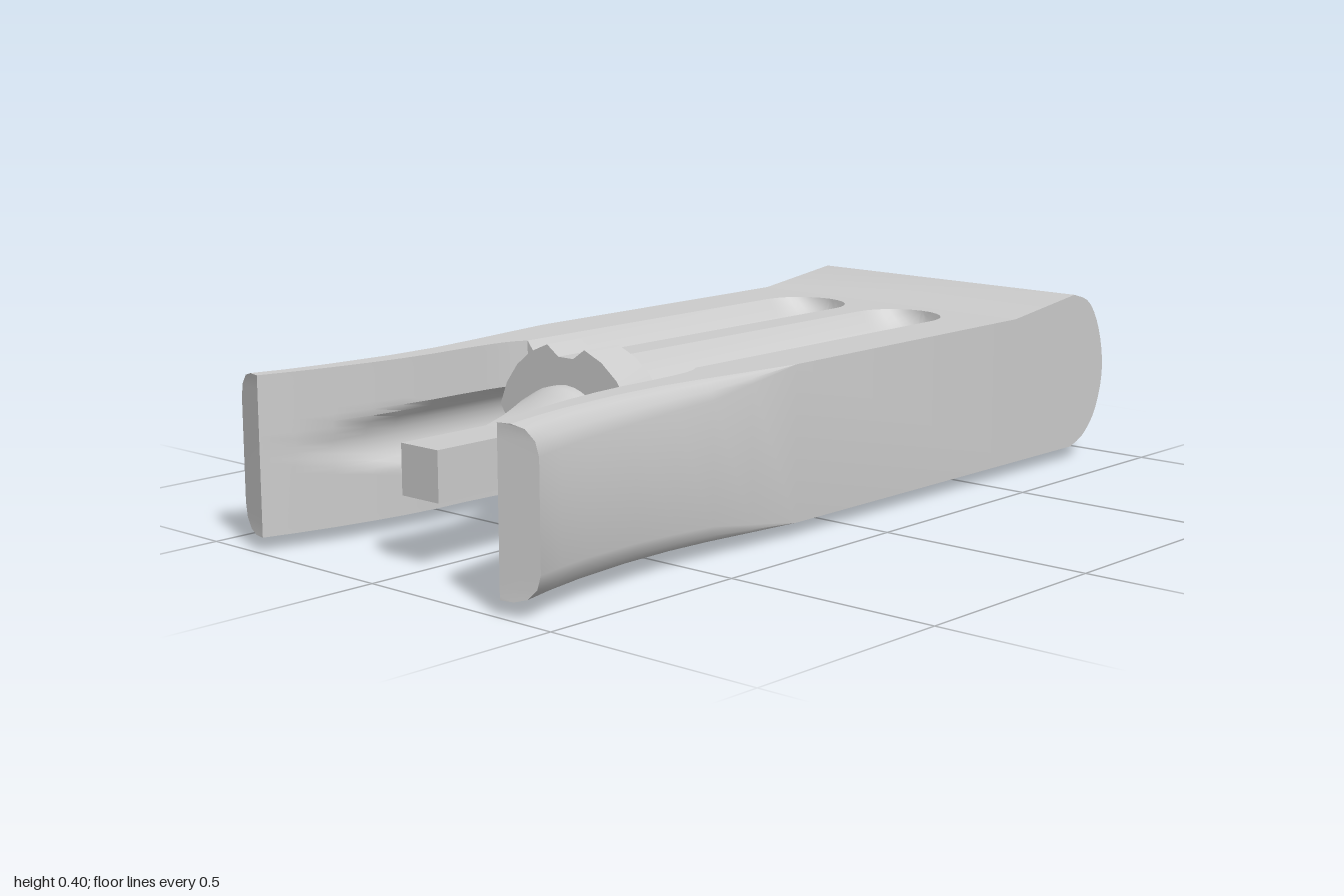
import * as THREE from 'three';
import { toCreasedNormals } from 'three/addons/utils/BufferGeometryUtils.js';

const MID = 0.21, HALF = 0.17;                    // mid height and half thickness
const SLOT_X = 0.143, SLOT_R = 0.107, SLOT_END = -0.478, SLOT_DEPTH = 0.07;
const NECK = 0.33, JOIN = -0.63;                  // front wall and tail joint

const solid = new THREE.MeshStandardMaterial({ color: 0xcccccc });
const shell = new THREE.MeshStandardMaterial({ color: 0xcccccc, side: THREE.DoubleSide });

function mesh(name, geometry, material = solid, crease = 0.6) {
  const m = new THREE.Mesh(toCreasedNormals(geometry, crease), material);
  m.name = name;
  return m;
}

// Surface through rows of [x, y, z] points
function loft(rows) {
  const n = rows[0].length, index = [];
  for (let i = 0; i < rows.length - 1; i++) {
    for (let j = 0; j < n - 1; j++) {
      const a = i * n + j, b = a + n;
      index.push(a, b, a + 1, b, b + 1, a + 1);
    }
  }
  const g = new THREE.BufferGeometry();
  g.setAttribute('position', new THREE.Float32BufferAttribute(rows.flat(2), 3));
  g.setIndex(index);
  g.computeVertexNormals();
  return g;
}

// Outer side stations: [outer x, outer z, flat edge x, flat edge z, edge drop]
const OUTER = [
  [0.38, JOIN, 0.38, JOIN, 0], [0.38, 0.16, 0.38, 0.16, 0],
  [0.38, 0.3, 0.362, 0.3, 0.022], [0.38, 0.42, 0.346, 0.42, 0.04],
  [0.379, 0.53, 0.335, 0.53, 0.045], [0.385, 0.65, 0.335, 0.655, 0.05],
  [0.402, 0.8, 0.35, 0.81, 0.054], [0.42, 0.89, 0.366, 0.905, 0.056],
  [0.44, 0.965, 0.385, 0.983, 0.058],
];
// Inner edge of the arm in plan: [x, z]
const INNER = [
  [0.25, NECK], [0.262, 0.35], [0.271, 0.38], [0.276, 0.42], [0.28, 0.5], [0.28, 0.58],
  [0.286, 0.66], [0.297, 0.74], [0.314, 0.83], [0.334, 0.915], [0.355, 0.99],
];

// Rounded outer cross-section of one station, top to bottom
function section([ox, oz, fx, fz, drop]) {
  const top = [];
  for (let k = 0; k <= 3; k++) {
    const a = (k / 3) * Math.PI / 2, s = Math.sin(a);
    top.push([fx + (ox - fx) * s, HALF - drop * (1 - Math.cos(a)), fz + (oz - fz) * s]);
  }
  const low = top.map(([x, y, z]) => [x, -y, z]).reverse();
  return [...top, ...low].map(([x, y, z]) => [x, MID + y, z]);
}

function slotDepth(x) {
  const t = (x - SLOT_X) / SLOT_R;
  return Math.max(0, SLOT_DEPTH * (1 - t * t));
}

// Flat top or bottom of one half, with the finger slot left open
function flatFace(y) {
  const pts = [[0, JOIN]];
  OUTER.forEach(s => pts.push([s[2], s[3]]));
  pts.push(...[...INNER].reverse());
  for (let k = 0; k <= 12; k++) {
    const a = (k / 12) * Math.PI;
    pts.push([SLOT_X + SLOT_R * Math.cos(a), SLOT_END - SLOT_R * Math.sin(a)]);
  }
  pts.push([SLOT_X - SLOT_R, NECK], [0, NECK]);
  const g = new THREE.ShapeGeometry(new THREE.Shape(pts.map(p => new THREE.Vector2(...p))));
  return g.rotateX(Math.PI / 2).translate(0, y, 0);
}

// Shallow trough with a domed end; side is 1 for top, -1 for bottom
function slot(side) {
  const rows = [];
  for (let k = -1; k <= 8; k++) {
    const a = Math.max(k, 0) / 8 * Math.PI / 2, r = Math.cos(a), row = [];
    const z = k < 0 ? NECK : SLOT_END - SLOT_R * Math.sin(a);
    for (let j = 0; j <= 14; j++) {
      const t = -1 + j / 7;
      row.push([SLOT_X + SLOT_R * r * t, MID + side * (HALF - SLOT_DEPTH * r * (1 - t * t)), z]);
    }
    rows.push(row);
  }
  return loft(rows);
}

// Front wall, socket and inner side of the arm as one surface
function innerWall() {
  const column = (x, z, half, cut) => {
    const col = [];
    for (let j = 0; j <= 24; j++) {
      const y = half * (1 - j / 12), d = 0.07 * 0.07 - y * y;
      const px = cut && d > 0 ? Math.max(x, 0.25 + Math.sqrt(d)) : x;
      col.push([px, MID + y, z]);
    }
    return col;
  };
  const rows = [column(0, NECK, HALF, false)];
  for (let k = 0; k <= 14; k++) {
    const x = SLOT_X + SLOT_R * (k / 7 - 1);
    rows.push(column(x, NECK, HALF - slotDepth(x), false));
  }
  INNER.forEach(([x, z]) => rows.push(column(x, z, HALF, true)));
  return loft(rows);
}

function bodyHalf(name) {
  const g = new THREE.Group();
  g.name = name;
  const end = section(OUTER[OUTER.length - 1]);
  const [ix, iz] = INNER[INNER.length - 1];
  g.add(
    mesh('topFace', flatFace(MID + HALF), shell),
    mesh('bottomFace', flatFace(MID - HALF), shell),
    mesh('topSlot', slot(1), shell),
    mesh('bottomSlot', slot(-1), shell),
    mesh('outerSide', loft(OUTER.map(section)), shell),
    mesh('innerWall', innerWall(), shell),
    mesh('armTip', loft([end, end.map(p => [ix, p[1], iz])]), shell),
  );
  return g;
}

// Rounded tail, swept across the width
function tail() {
  const s = new THREE.Shape();
  s.moveTo(-JOIN, 0.04);
  s.lineTo(0.87, 0.04);
  s.splineThru([[0.925, 0.063], [0.975, 0.12], [1, 0.215], [0.98, 0.315], [0.935, 0.385], [0.87, 0.41]]
    .map(p => new THREE.Vector2(...p)));
  s.lineTo(-JOIN, 0.38);
  const g = new THREE.ExtrudeGeometry(s, { depth: 0.76, bevelEnabled: false, curveSegments: 3 });
  return g.rotateY(Math.PI / 2).translate(-0.38, 0, 0);
}

// Round collar with a notch in each quarter
function collar() {
  const pts = [];
  for (let q = 0; q < 4; q++) {
    const local = [[0.178, -0.022], [0.178, 0.022]];
    for (let k = 0; k <= 4; k++) {
      const a = 0.268 + (k / 4) * (Math.PI / 2 - 0.536);
      local.push([0.208 * Math.cos(a), 0.208 * Math.sin(a)]);
    }
    local.forEach(p => pts.push(new THREE.Vector2(...p).rotateAround(new THREE.Vector2(), q * Math.PI / 2)));
  }
  const g = new THREE.ExtrudeGeometry(new THREE.Shape(pts), { depth: 0.1, bevelEnabled: false });
  return g.translate(0, MID, 0.36);
}

// Flare that blends from a round base to the square bar
function flare() {
  const stations = [[0.46, 0.12, 0], [0.485, 0.12, 0.05], [0.51, 0.105, 0.3], [0.54, 0.085, 0.6],
    [0.58, 0.068, 0.85], [0.64, 0.054, 1]];
  return loft(stations.map(([z, r, s]) => {
    const row = [];
    for (let k = 0; k <= 32; k++) {
      const a = -(k / 32) * Math.PI * 2, c = Math.cos(a), n = Math.sin(a);
      const d = r * (1 - s + s / Math.max(Math.abs(c), Math.abs(n)));
      row.push([d * c, MID + d * n, z]);
    }
    return row;
  }));
}

export function createModel() {
  const model = new THREE.Group();
  model.name = 'clipHolder';

  const left = bodyHalf('leftBody');
  const right = bodyHalf('rightBody');
  right.scale.x = -1;
  model.add(left, right, mesh('tail', tail()));

  // Turning post: neck, collar, flare and square bar
  const post = new THREE.Group();
  post.name = 'post';
  const neck = new THREE.CylinderGeometry(0.09, 0.09, 0.06, 16).rotateX(Math.PI / 2).translate(0, MID, 0.34);
  const bar = new THREE.BoxGeometry(0.108, 0.108, 0.24).translate(0, MID, 0.75);
  post.add(mesh('neck', neck), mesh('collar', collar(), solid, 0.3),
    mesh('flare', flare(), shell), mesh('bar', bar));
  model.add(post);

  // Small eight-sided peg seated in the left socket
  const profile = [[0.07, 0], [0.07, 0.095], [0.062, 0.11], [0, 0.11]].map(p => new THREE.Vector2(...p));
  const peg = new THREE.LatheGeometry(profile, 8).rotateX(Math.PI / 2).translate(0.25, MID, NECK);
  model.add(mesh('peg', peg, shell, 0.3));
  return model;
}
